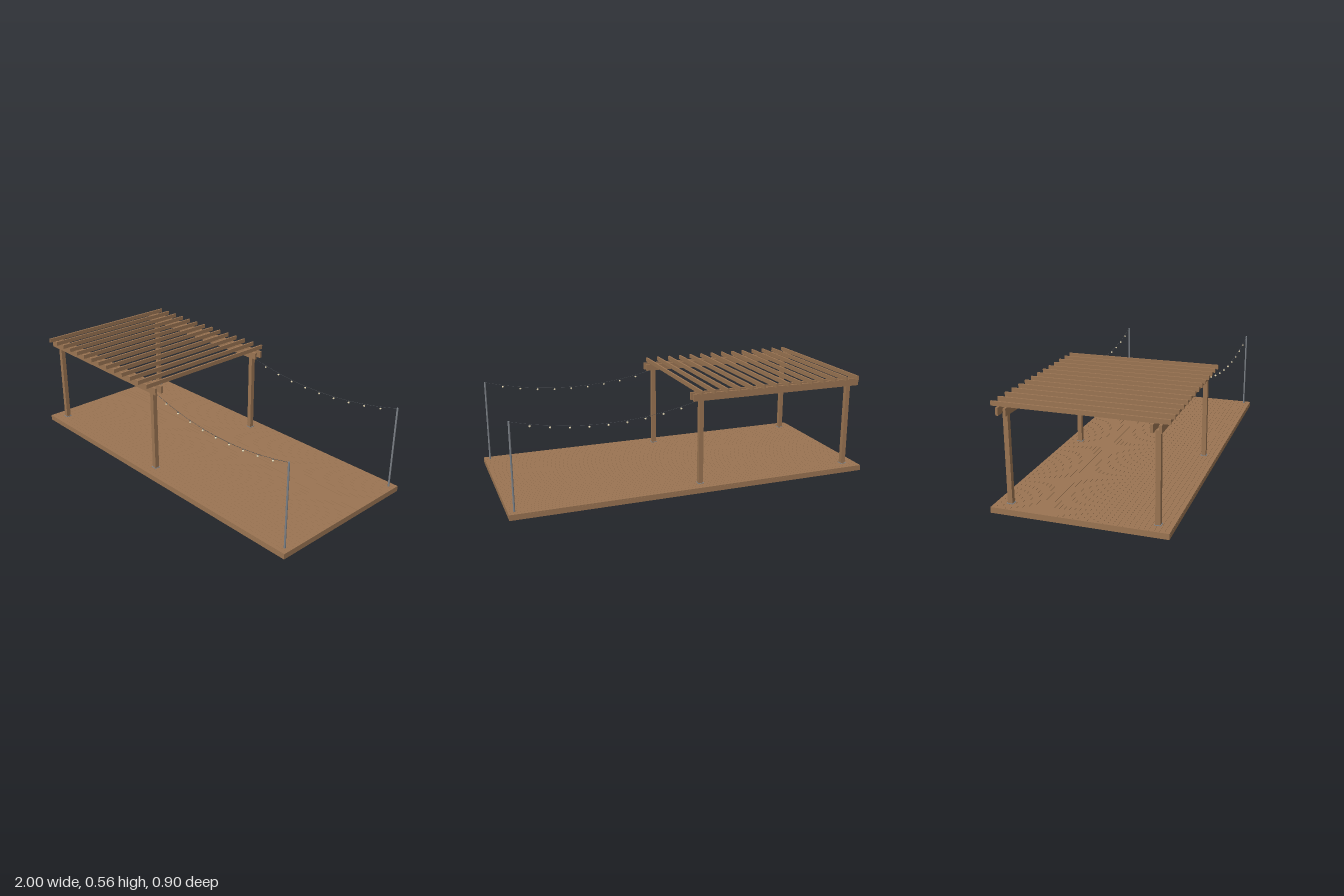
import * as THREE from 'three';

const mat = (name, color) => {
  const m = new THREE.MeshStandardMaterial({ color });
  m.name = name;
  return m;
};

export function createModel() {
  const model = new THREE.Group();
  model.name = 'deckWithPergola';
  const wood = mat('wood', 0x9a7452);
  const steel = mat('steel', 0x7c8187);
  const plastic = mat('darkPlastic', 0x4a4e54);
  const glass = mat('warmGlass', 0xe6d8b4);

  const add = (parent, name, geometry, material, x, y, z) => {
    const mesh = new THREE.Mesh(geometry, material);
    mesh.name = name;
    mesh.position.set(x, y, z);
    parent.add(mesh);
    return mesh;
  };
  const box = (parent, name, material, w, h, d, x, y, z) =>
    add(parent, name, new THREE.BoxGeometry(w, h, d), material, x, y, z);
  const group = (name) => {
    const g = new THREE.Group();
    g.name = name;
    model.add(g);
    return g;
  };

  // Deck: narrow boards with open gaps, framed by fascia boards
  const deck = group('deck');
  const deckTop = 0.03, halfZ = 0.448, fascia = 0.006, boardH = 0.007;
  const boards = 36, pitch = 2 * halfZ / boards;
  for (let i = 0; i < boards; i++) {
    box(deck, 'deckBoard', wood, 2 - 2 * fascia, boardH, pitch - 0.0008,
      0, deckTop - boardH / 2, (i + 0.5 - boards / 2) * pitch);
  }
  const skirtH = deckTop - boardH;
  for (const s of [-1, 1]) {
    box(deck, 'longFascia', wood, 2 - 2 * fascia, skirtH, fascia, 0, skirtH / 2, s * (halfZ - fascia / 2));
    box(deck, 'endFascia', wood, fascia, deckTop, 2 * halfZ, s * (1 - fascia / 2), deckTop / 2, 0);
  }

  // Pedestal feet in three rows under the boards
  const feet = group('pedestals');
  const baseGeo = new THREE.CylinderGeometry(0.02, 0.02, 0.006, 20);
  const stemGeo = new THREE.CylinderGeometry(0.016, 0.016, 0.014, 16);
  const headGeo = new THREE.CylinderGeometry(0.027, 0.027, 0.003, 24);
  for (const z of [-0.4, 0, 0.4]) {
    for (let i = 0; i < 11; i++) {
      const x = -0.94 + i * 0.178;
      add(feet, 'pedestalBase', baseGeo, steel, x, 0.003, z);
      add(feet, 'pedestalStem', stemGeo, plastic, x, 0.013, z);
      add(feet, 'pedestalHead', headGeo, plastic, x, 0.0215, z);
    }
  }

  // Pergola: posts on plates, paired beams, rafters across
  const pergola = group('pergola');
  const beamBottom = 0.493, beamTop = 0.532;
  for (const s of [-1, 1]) {
    for (const x of [-0.924, -0.035]) {
      box(pergola, 'post', wood, 0.025, beamBottom - deckTop, 0.025, x, (beamBottom + deckTop) / 2, s * 0.374);
      box(pergola, 'postPlate', steel, 0.034, 0.002, 0.034, x, deckTop + 0.001, s * 0.374);
    }
    for (const z of [0.355, 0.395]) {
      box(pergola, 'beam', wood, 0.994, beamTop - beamBottom, 0.013, -0.481, (beamTop + beamBottom) / 2, s * z);
    }
  }
  for (let i = 0; i < 14; i++) {
    box(pergola, 'rafter', wood, 0.01, 0.023, 0.872, -0.952 + i * 0.0719, beamTop + 0.0115, 0);
  }

  // Festoon lights: a pole on each side and a sagging cable with bulbs
  const poleGeo = new THREE.CylinderGeometry(0.005, 0.005, 0.463, 16);
  const socketGeo = new THREE.CylinderGeometry(0.0025, 0.0025, 0.006, 10);
  const bulbGeo = new THREE.SphereGeometry(0.0055, 12, 8);
  for (const s of [-1, 1]) {
    const lights = group(s > 0 ? 'frontLights' : 'backLights');
    add(lights, 'lightPole', poleGeo, steel, 0.968, deckTop + 0.2315, s * 0.41);
    const at = (t) => new THREE.Vector3(
      -0.023 + 0.991 * t, 0.49 - 0.26 * t * (1 - t), s * (0.374 + 0.036 * t));
    const points = Array.from({ length: 13 }, (_, i) => at(i / 12));
    const cable = new THREE.TubeGeometry(new THREE.CatmullRomCurve3(points), 48, 0.0008, 6);
    add(lights, 'lightCable', cable, plastic, 0, 0, 0);
    for (let i = 1; i < 10; i++) {
      const p = at(i / 10);
      add(lights, 'bulbSocket', socketGeo, plastic, p.x, p.y - 0.003, p.z);
      add(lights, 'bulb', bulbGeo, glass, p.x, p.y - 0.01, p.z);
    }
  }

  return model;
}
